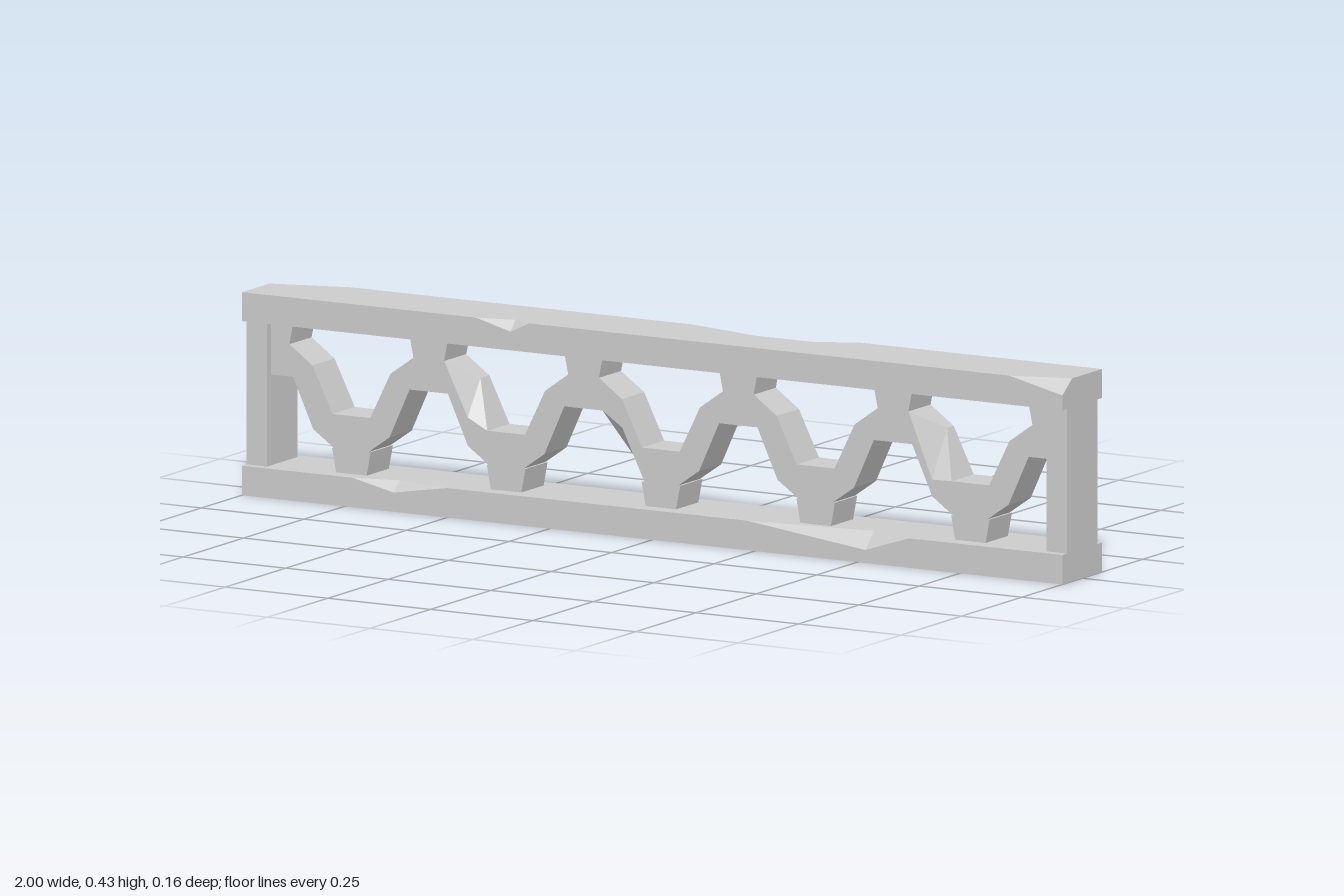
import * as THREE from 'three';

const material = new THREE.MeshStandardMaterial({ color: 0xcccccc, flatShading: true });

// One cross-section between a lower and an upper [x, y] point, half depth d.
// Each chip [dy, dz] cuts off one of its corners.
function section(lo, hi, d, { front = [0, 0], back = [0, 0], under = [0, 0] } = {}) {
  const at = (y, z) => [
    THREE.MathUtils.mapLinear(y, lo[1], hi[1], lo[0], hi[0]), y, z,
  ];
  return [
    at(hi[1], -d + back[1]), at(hi[1], d - front[1]), at(hi[1] - front[0], d),
    at(lo[1] + under[0], d), at(lo[1], d - under[1]), at(lo[1], -d), at(hi[1] - back[0], -d),
  ];
}

// Skin a row of sections running towards +x and cap both ends
function loft(sections) {
  const pos = [];
  const tri = (...points) => points.forEach((p) => pos.push(...p));
  const n = sections[0].length;
  for (let i = 0; i + 1 < sections.length; i++) {
    const a = sections[i], b = sections[i + 1];
    for (let j = 0; j < n; j++) {
      const k = (j + 1) % n;
      tri(a[j], a[k], b[k]);
      tri(a[j], b[k], b[j]);
    }
  }
  const first = sections[0], last = sections[sections.length - 1];
  for (let j = 1; j + 1 < n; j++) {
    tri(first[0], first[j + 1], first[j]);
    tri(last[0], last[j], last[j + 1]);
  }
  const geometry = new THREE.BufferGeometry();
  geometry.setAttribute('position', new THREE.Float32BufferAttribute(pos, 3));
  geometry.computeVertexNormals();
  return geometry;
}

// Chip depth at x, from keys [x, dy, dz]
function chipAt(keys, x) {
  for (let i = 0; i + 1 < keys.length; i++) {
    const a = keys[i], b = keys[i + 1];
    if (x >= a[0] && x <= b[0]) {
      const t = (x - a[0]) / (b[0] - a[0]);
      return [a[1] + (b[1] - a[1]) * t, a[2] + (b[2] - a[2]) * t];
    }
  }
  return [0, 0];
}

function rail(y0, y1, front, back) {
  const xs = [...new Set([-1, 1, ...front.map((k) => k[0]), ...back.map((k) => k[0])])];
  xs.sort((a, b) => a - b);
  return loft(xs.map((x) => section([x, y0], [x, y1], 0.082,
    { front: chipAt(front, x), back: chipAt(back, x) })));
}

export function createModel() {
  const group = new THREE.Group();
  const add = (name, geometry) => {
    const mesh = new THREE.Mesh(geometry, material);
    mesh.name = name;
    group.add(mesh);
    return mesh;
  };

  // Rails with chipped upper edges
  add('bottomRail', rail(0, 0.063,
    [[-0.73, 0, 0], [-0.63, 0.022, 0.025], [-0.5, 0, 0],
      [0.23, 0, 0], [0.52, 0.035, 0.035], [0.625, 0, 0]], []));
  add('topRail', rail(0.372, 0.434,
    [[-0.43, 0, 0], [-0.345, 0.022, 0.02], [-0.3, 0, 0], [0.87, 0, 0], [1, 0.03, 0.04]],
    [[-1, 0.03, 0.05], [-0.83, 0, 0], [0, 0, 0], [0.18, 0.042, 0.043],
      [0.32, 0.042, 0.043], [0.41, 0, 0]]));

  // End posts
  for (const side of [-1, 1]) {
    const post = add(side > 0 ? 'leftPost' : 'rightPost',
      new THREE.BoxGeometry(0.05, 0.309, 0.126));
    post.position.set(side * 0.975, 0.2175, 0);
  }

  // Wave: rising strand measured from the middle of a trough
  const half = 0.1886, depth = 0.046, end = 0.96;
  const lower = [[0.039, 0.112], [0.093, 0.15], [0.142, 0.257]];
  const upper = [[0.046, 0.187], [0.095, 0.286], [0.151, 0.326]];
  const chips = { // keyed by strand
    2: { front: [0.075, 0.055] },
    4: { under: [0.075, 0.055] },
    8: { front: [0.1, 0.065] },
  };
  const wave = [section([-end, 0.257], [-end, 0.326], depth)];
  for (let k = 0; k < 10; k++) {
    const falling = k % 2 === 0;
    const trough = (k + (falling ? 1 : 0) - 5) * half;
    const sign = falling ? -1 : 1;
    for (const i of falling ? [2, 1, 0] : [0, 1, 2]) {
      const place = ([x, y]) => [trough + sign * x, y];
      wave.push(section(place(lower[i]), place(upper[i]), depth, i === 1 ? chips[k] : {}));
    }
  }
  wave.push(section([end, 0.257], [end, 0.326], depth));
  add('waveOrnament', loft(wave));

  // Tapered tabs joining the wave to the rails
  for (let k = 0; k <= 10; k++) {
    const crest = k % 2 === 0, x = (k - 5) * half;
    const [y0, y1] = crest ? [0.324, 0.373] : [0.062, 0.114];
    const clamp = (v) => THREE.MathUtils.clamp(v, -end, end);
    const shape = new THREE.Shape([
      [x - 0.037, y0], [x + 0.037, y0], [x + 0.047, y1], [x - 0.047, y1],
    ].map(([px, py]) => new THREE.Vector2(clamp(px), py)));
    const tab = add(crest ? 'upperTab' : 'lowerTab',
      new THREE.ExtrudeGeometry(shape, { depth: depth * 2, bevelEnabled: false }));
    tab.position.z = -depth;
  }
  return group;
}
